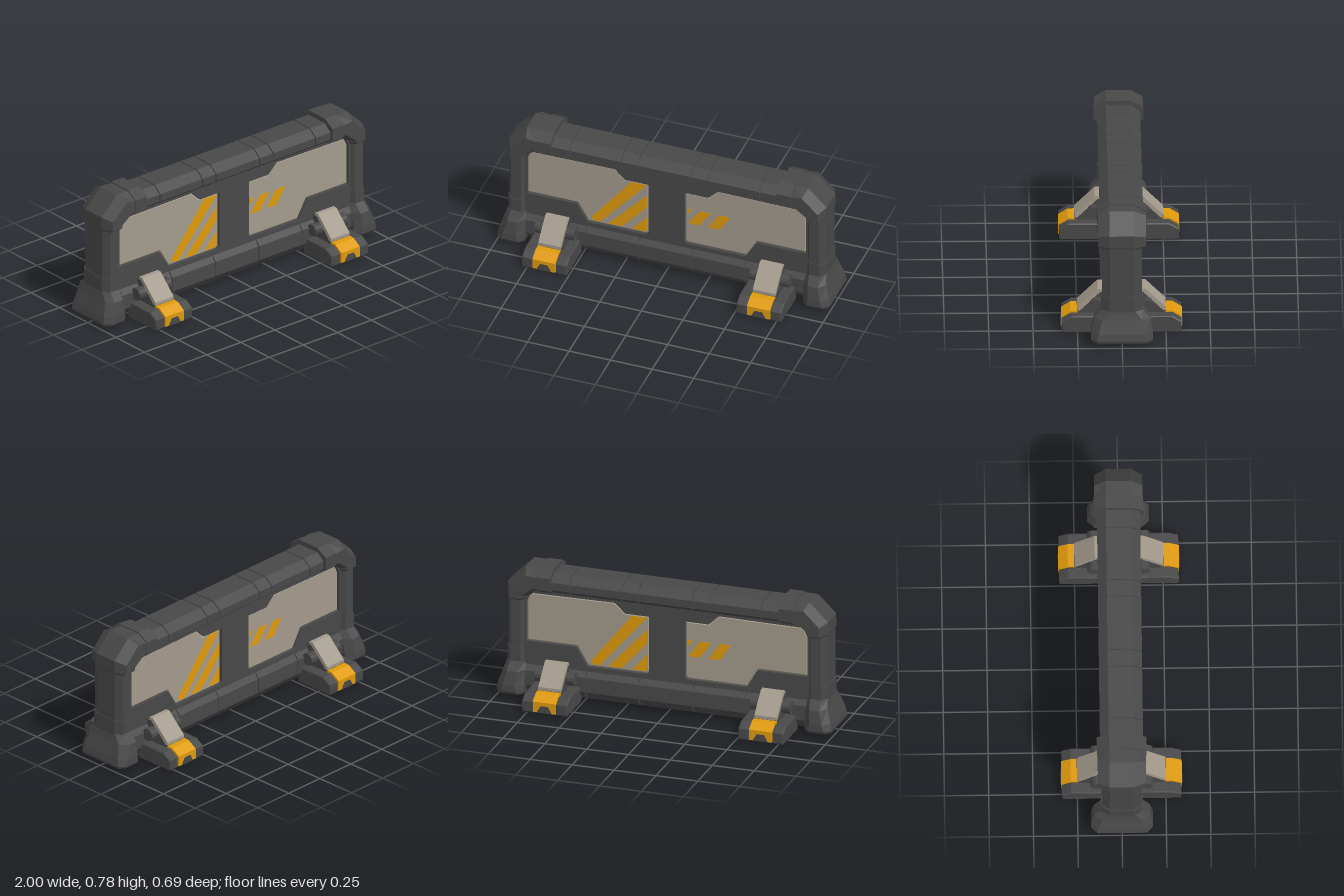
import * as THREE from 'three';

const mat = (name, color, flat = true) => {
  const m = new THREE.MeshStandardMaterial({ color, flatShading: flat });
  m.name = name;
  return m;
};

// Lofts chamfered sections; each runs from inner point (qx,qy) to outer point (px,py),
// with half depth d and a chamfer of ct (in section) by cz (in depth).
function loft(sections) {
  const rings = sections.map(([qx, qy, px, py, d, ct, cz]) => {
    const q = new THREE.Vector2(qx, qy), p = new THREE.Vector2(px, py);
    const L = p.distanceTo(q), u = p.clone().sub(q).normalize(), e = d - cz;
    return [[L, e], [L, -e], [L - ct, -d], [ct, -d], [0, -e], [0, e], [ct, d], [L - ct, d]]
      .map(([t, z]) => [qx + u.x * t, qy + u.y * t, z]);
  });
  const pos = [];
  const tri = (a, b, c) => pos.push(...a, ...b, ...c);
  for (let i = 0; i + 1 < rings.length; i++) {
    const a = rings[i], b = rings[i + 1];
    for (let j = 0; j < 8; j++) {
      const k = (j + 1) % 8;
      tri(a[j], a[k], b[k]);
      tri(a[j], b[k], b[j]);
    }
  }
  const first = rings[0], last = rings[rings.length - 1];
  for (let j = 1; j < 7; j++) {
    tri(first[0], first[j + 1], first[j]);
    tri(last[0], last[j], last[j + 1]);
  }
  const g = new THREE.BufferGeometry();
  g.setAttribute('position', new THREE.Float32BufferAttribute(pos, 3));
  g.computeVertexNormals();
  return g;
}

const shapeOf = pts => new THREE.Shape(pts.map(([x, y]) => new THREE.Vector2(x, y)));

// Plate in the xy plane between two depths
function plate(shape, z0, z1, bevel = 0) {
  return new THREE.ExtrudeGeometry(shape, {
    depth: z1 - z0 - 2 * bevel, bevelEnabled: bevel > 0, bevelSize: bevel,
    bevelThickness: bevel, bevelOffset: -bevel, bevelSegments: 1,
  }).translate(0, 0, z0 + bevel);
}

// Prism of a (z, y) profile between x0 and x1
const prism = (pts, x0, x1, bevel = 0) =>
  plate(shapeOf(pts), -x1, -x0, bevel).rotateY(-Math.PI / 2);

export function createModel() {
  const dark = mat('dark metal', 0x484848);
  const beige = mat('beige panel', 0xa39a8c);
  const yellow = mat('warning yellow', 0xdf9a0c);
  const model = new THREE.Group();
  model.name = 'barrier';
  const add = (parent, name, geo, m) => {
    const mesh = new THREE.Mesh(geo, m);
    mesh.name = name;
    parent.add(mesh);
    return mesh;
  };

  // Panel opening on the +x side
  const opening = [[0.107, 0.235], [0.122, 0.22], [0.475, 0.22], [0.54, 0.33], [0.84, 0.33],
    [0.84, 0.57], [0.815, 0.625], [0.31, 0.63], [0.25, 0.572], [0.107, 0.572]];
  const mirror = pts => pts.map(([x, y]) => [-x, y]).reverse();

  // Core frame with two openings
  const frame = shapeOf([[-0.86, 0.1], [0.86, 0.1], [0.86, 0.68], [-0.86, 0.68]]);
  for (const o of [opening, mirror(opening)]) {
    frame.holes.push(new THREE.Path(o.map(([x, y]) => new THREE.Vector2(x, y))));
  }
  add(model, 'frame', plate(frame, -0.09, 0.09), dark);

  // Rails: a thin core with segments separated by seams
  const rail = (parent, name, x0, x1, y0, y1, d, ct, cz) =>
    add(parent, name, loft([[x1, y0, x1, y1, d, ct, cz], [x0, y0, x0, y1, d, ct, cz]]), dark);
  rail(model, 'topRailCore', -0.7, 0.7, 0.64, 0.745, 0.114, 0.04, 0.05);
  rail(model, 'bottomRailCore', -0.85, 0.85, 0.03, 0.2, 0.108, 0.05, 0.04);
  rail(model, 'topRailMiddle', -0.157, 0.157, 0.63, 0.755, 0.122, 0.04, 0.05);
  rail(model, 'bottomRailMiddle', -0.157, 0.157, 0.022, 0.21, 0.115, 0.05, 0.04);

  // Each half is the other turned 180 degrees
  for (const turn of [0, Math.PI]) {
    const half = new THREE.Group();
    half.name = turn ? 'turnedHalf' : 'half';
    half.rotation.y = turn;
    model.add(half);

    for (const [a, b] of [[0.163, 0.257], [0.263, 0.567], [0.573, 0.69]]) {
      rail(half, 'topRailSegment', a, b, 0.63, 0.755, 0.122, 0.04, 0.05);
    }
    for (const [a, b] of [[0.163, 0.475], [0.481, 0.84]]) {
      rail(half, 'bottomRailSegment', a, b, 0.022, 0.21, 0.115, 0.05, 0.04);
    }

    // Side post, its collar and flared foot
    const level = (y, outer, d, ct = 0.028, cz = 0.045) => [0.838, y, outer, y, d, ct, cz];
    add(half, 'sidePost', loft([level(0.2, 0.953, 0.113), level(0.62, 0.953, 0.113)]), dark);
    add(half, 'postCollar', loft([level(0.2, 0.957, 0.117), level(0.292, 0.957, 0.117)]), dark);
    add(half, 'postFoot', loft([
      level(0.025, 0.995, 0.165, 0.03, 0.03), level(0.04, 1.0, 0.175, 0.035, 0.035),
      level(0.08, 0.992, 0.174, 0.04, 0.04), level(0.16, 0.967, 0.158, 0.035, 0.045),
      level(0.21, 0.955, 0.117),
    ]), dark);

    // Top corner elbow and the collar that clasps the rail
    add(half, 'topCorner', loft([
      [0.838, 0.582, 0.95, 0.582, 0.115, 0.028, 0.045],
      [0.83, 0.597, 0.956, 0.597, 0.136, 0.03, 0.065],
      [0.826, 0.6, 0.956, 0.67, 0.136, 0.035, 0.066],
      [0.775, 0.635, 0.845, 0.777, 0.136, 0.035, 0.066],
      [0.765, 0.635, 0.765, 0.777, 0.136, 0.04, 0.066],
      [0.69, 0.635, 0.69, 0.77, 0.128, 0.04, 0.06],
    ]), dark);
    rail(half, 'cornerCollar', 0.68, 0.765, 0.628, 0.783, 0.14, 0.04, 0.068);

    // Panel with bevelled rim
    add(half, 'panel', plate(shapeOf(opening), -0.08, 0.08, 0.01), beige);

    // Painted stripes and dashes
    const marks = [
      [[-0.455, 0.255], [-0.442, 0.235], [-0.402, 0.235], [-0.122, 0.56], [-0.212, 0.56]],
      [[-0.352, 0.235], [-0.272, 0.235], [-0.122, 0.402], [-0.122, 0.485]],
      [[-0.21, 0.235], [-0.13, 0.235], [-0.122, 0.245], [-0.122, 0.335]],
      [[0.122, 0.42], [0.15, 0.458], [0.122, 0.458]],
      [[0.126, 0.36], [0.195, 0.36], [0.265, 0.458], [0.197, 0.458]],
      [[0.246, 0.36], [0.316, 0.36], [0.38, 0.458], [0.314, 0.458]],
    ];
    for (const m of marks) add(half, 'paintedStripe', plate(shapeOf(m), 0.079, 0.082), yellow);

    // Stabiliser legs
    for (const x of [-0.645, 0.645]) {
      const leg = new THREE.Group();
      leg.name = 'stabiliserLeg';
      leg.position.x = x;
      half.add(leg);
      const pad = [[0.085, 0.005], [0.092, 0], [0.33, 0], [0.338, 0.01], [0.338, 0.068],
        [0.285, 0.1], [0.085, 0.1]];
      add(leg, 'footPad', prism(pad, -0.135, -0.069, 0.006), dark);
      add(leg, 'footPad', prism(pad, 0.069, 0.135, 0.006), dark);
      add(leg, 'legBody', prism([[0.085, 0.004], [0.332, 0.004], [0.332, 0.062], [0.28, 0.095],
        [0.24, 0.112], [0.125, 0.228], [0.085, 0.228]], -0.066, 0.066), dark);
      add(leg, 'legPlate', prism([[0.1, 0.222], [0.11, 0.24], [0.135, 0.24], [0.25, 0.127],
        [0.25, 0.108], [0.235, 0.108], [0.12, 0.222]], -0.067, 0.067), beige);
      add(leg, 'toeCap', prism([[0.245, 0.095], [0.25, 0.107], [0.287, 0.106], [0.341, 0.072],
        [0.341, 0.01], [0.33, 0.01], [0.33, 0.06], [0.28, 0.092]], -0.068, 0.068), yellow);
      add(leg, 'toeNotch', plate(shapeOf([[-0.045, 0.009], [0.045, 0.009], [0.022, 0.05],
        [-0.022, 0.05]]), 0.338, 0.343), dark);
      // Hinge knuckles either side of the leg
      for (const s of [-1, 1]) {
        const k = add(leg, 'hingeKnuckle',
          new THREE.CylinderGeometry(0.037, 0.037, 0.052, 14), dark);
        k.rotation.z = Math.PI / 2;
        k.position.set(s * 0.092, 0.155, 0.14);
      }
    }
  }
  return model;
}
